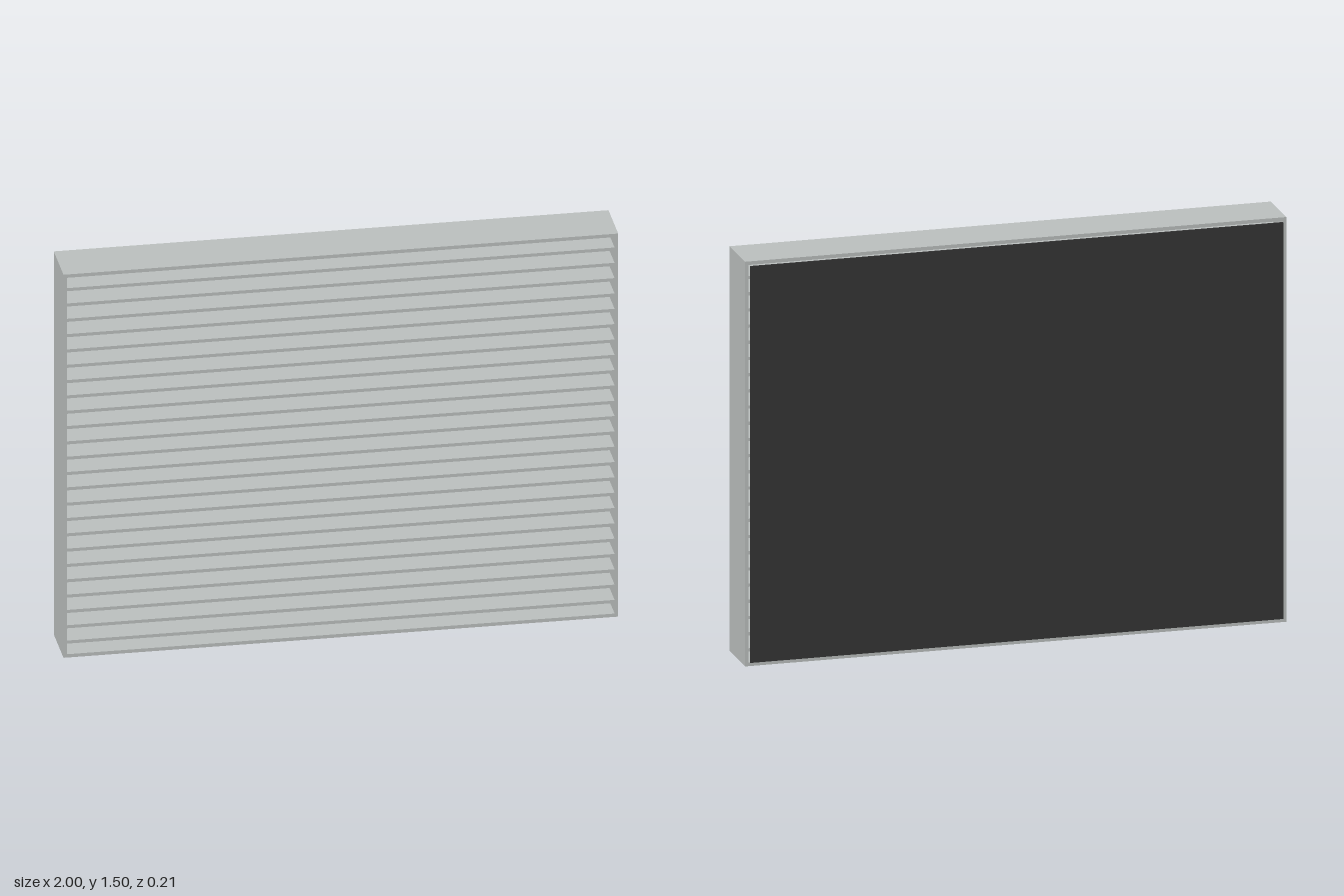
import * as THREE from 'three';

const WIDTH = 2, HEIGHT = 1.5, WALL = 0.013;
const FRONT = 0.106, BACK = -0.094;

export function createModel() {
  const group = new THREE.Group();
  group.name = 'louverPanel';
  const aluminium = new THREE.MeshStandardMaterial({ color: 0xbdc1c0 });
  aluminium.name = 'light grey metal';
  const dark = new THREE.MeshStandardMaterial({ color: 0x363636 });
  dark.name = 'dark grey mesh';

  const add = (name, geometry, material, x, y, z) => {
    const mesh = new THREE.Mesh(geometry, material);
    mesh.name = name;
    mesh.position.set(x, y, z);
    group.add(mesh);
  };

  // Rectangular frame, open at front and back
  const w = WIDTH / 2, h = HEIGHT / 2;
  const rect = (Type, a, b) => new Type([
    new THREE.Vector2(-a, -b), new THREE.Vector2(a, -b),
    new THREE.Vector2(a, b), new THREE.Vector2(-a, b),
  ]);
  const outline = rect(THREE.Shape, w, h);
  outline.holes.push(rect(THREE.Path, w - WALL, h - WALL));
  const depth = FRONT - BACK;
  add('frame', new THREE.ExtrudeGeometry(outline, { depth, bevelEnabled: false }), aluminium, 0, h, BACK);

  // Evenly spaced horizontal slats
  const bays = 25;
  const slat = new THREE.BoxGeometry(WIDTH - 2 * WALL, 0.012, depth - 0.002);
  for (let i = 1; i < bays; i++) {
    add('slat', slat, aluminium, 0, (i * HEIGHT) / bays, (FRONT + BACK) / 2);
  }

  // Thin dark sheet just behind the frame
  add('backSheet', new THREE.BoxGeometry(WIDTH - 0.03, HEIGHT - 0.03, 0.005), dark, 0, h, -0.1035);
  return group;
}
